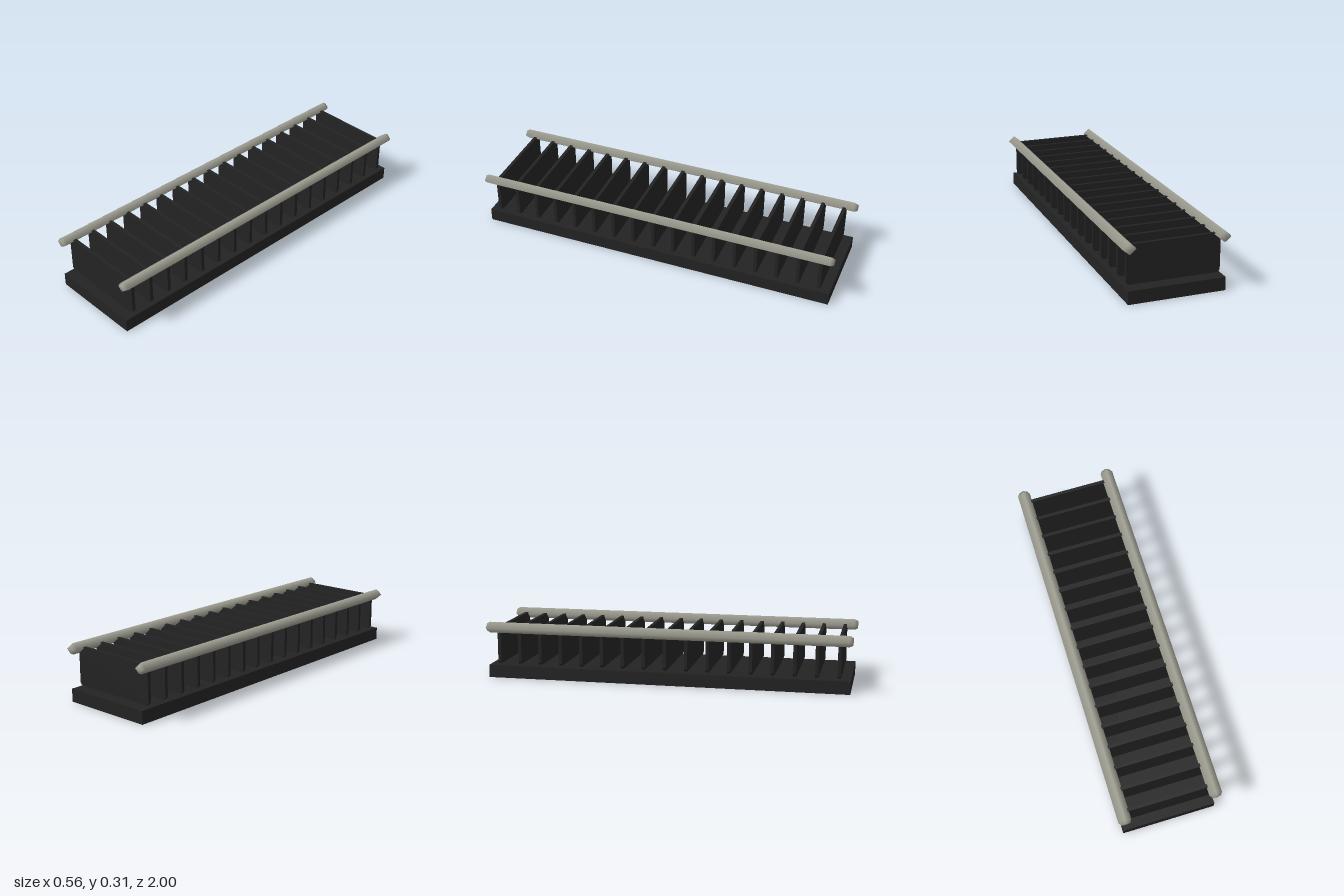
import * as THREE from 'three';

const black = new THREE.MeshStandardMaterial({ color: 0x232323 });
black.name = 'matte black';
const metal = new THREE.MeshStandardMaterial({ color: 0xa0a094 });
metal.name = 'warm grey metal';

function addMesh(parent, name, geometry, material, x, y, z) {
  const mesh = new THREE.Mesh(geometry, material);
  mesh.name = name;
  mesh.position.set(x, y, z);
  parent.add(mesh);
  return mesh;
}

export function createModel() {
  const model = new THREE.Group();
  model.name = 'finnedBlock';

  // Base slab
  addMesh(model, 'base', new THREE.BoxGeometry(0.512, 0.07, 1.984), black, 0, 0.035, 0);

  // Upright fins with clipped corners, floating just above the base
  const half = [[0.235, 0.08], [0.247, 0.092], [0.247, 0.257], [0.217, 0.287]];
  const outline = [...half, ...half.map(([x, y]) => [-x, y]).reverse()];
  const shape = new THREE.Shape(outline.map(([x, y]) => new THREE.Vector2(x, y)));
  const thickness = 0.018;
  const finGeometry = new THREE.ExtrudeGeometry(shape, { depth: thickness, bevelEnabled: false });
  finGeometry.translate(0, 0, -thickness / 2);
  const fins = new THREE.Group();
  fins.name = 'fins';
  model.add(fins);
  for (let i = -8; i <= 8; i++) {
    addMesh(fins, 'fin', finGeometry, black, 0, 0, i * 0.1165);
  }

  // Four-sided smooth-shaded rails with tapered ends
  const profile = [[0, -1], [0.024, -1], [0.035, -0.982], [0.035, 0.982], [0.024, 1], [0, 1]];
  const railGeometry = new THREE.LatheGeometry(profile.map(([r, l]) => new THREE.Vector2(r, l)), 4);
  railGeometry.rotateX(Math.PI / 2);
  railGeometry.scale(1, 0.86, 1);
  for (const side of [-1, 1]) {
    addMesh(model, side > 0 ? 'leftRail' : 'rightRail', railGeometry, metal, side * 0.247, 0.281, 0);
  }

  return model;
}
